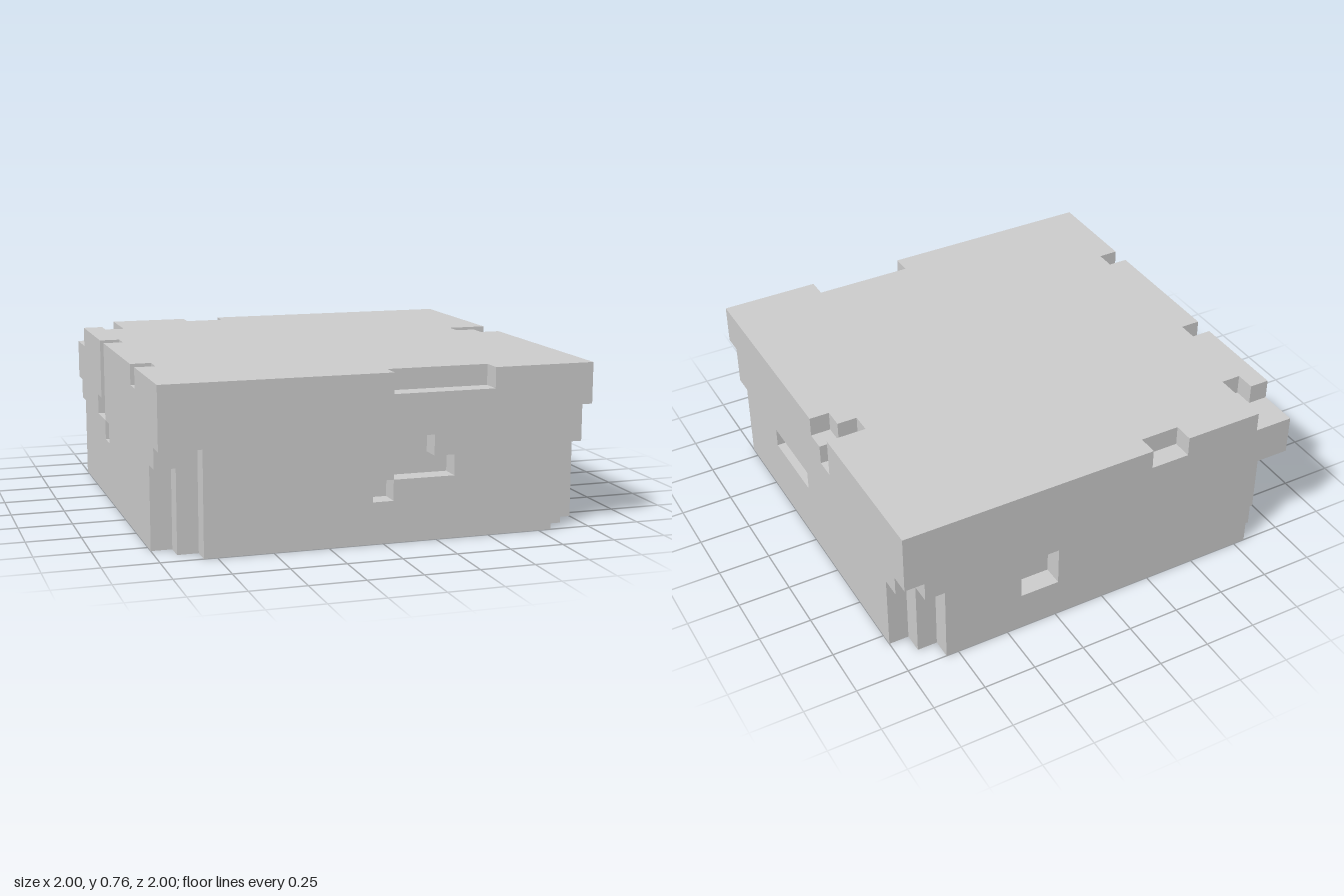
import * as THREE from 'three';

// The block is a 21 x 8 x 21 grid of cells with small recesses cut into its sides.
const NX = 21, NY = 8, NZ = 21, CELL = 2 / 21;

// Each cut is an inclusive cell range: [x0, x1, y0, y1, z0, z1]
const CUTS = [
  // front face: rim notch, stepped pocket, small pocket
  [11, 15, 7, 7, 20, 20], [11, 12, 3, 4, 20, 20], [13, 13, 3, 3, 20, 20], [10, 10, 2, 2, 20, 20],
  // +x face: long slot and stepped rim notch
  [20, 20, 3, 3, 11, 14], [20, 20, 7, 7, 8, 9], [19, 19, 7, 7, 8, 8], [20, 20, 6, 6, 8, 8],
  // back face: rim notch and square pocket
  [6, 7, 7, 7, 0, 0], [13, 14, 2, 3, 0, 0],
  // -x face: rim notch, then a vertical groove with a stepped foot
  [0, 0, 7, 7, 15, 15], [0, 0, 4, 7, 7, 7], [0, 0, 4, 4, 6, 6], [0, 0, 3, 3, 8, 8],
  // sunken top corner
  [0, 1, 7, 7, 0, 1], [1, 1, 7, 7, 2, 2],
];

// Lower corners: corner cell, neighbour along x, neighbour along z, with the cut height of each
const CORNERS = [
  [20, 20, 6, 5, 4],
  [0, 20, 5, 5, 4],
  [20, 0, 5, 4, 4],
  [0, 0, 5, 5, 4],
];
for (const [x, z, hCorner, hX, hZ] of CORNERS) {
  const nx = x ? x - 1 : 1, nz = z ? z - 1 : 1;
  CUTS.push([x, x, 0, hCorner - 1, z, z], [nx, nx, 0, hX - 1, z, z], [x, x, 0, hZ - 1, nz, nz]);
}

function isSolid([x, y, z]) {
  if (x < 0 || y < 0 || z < 0 || x >= NX || y >= NY || z >= NZ) return false;
  return !CUTS.some(([x0, x1, y0, y1, z0, z1]) =>
    x >= x0 && x <= x1 && y >= y0 && y <= y1 && z >= z0 && z <= z1);
}

// Emits a square wherever a solid cell meets empty space
function blockGeometry() {
  const positions = [], normals = [], indices = [];
  const addFace = (cell, axis, dir) => {
    const u = (axis + 1) % 3, v = (axis + 2) % 3;
    const base = positions.length / 3;
    for (const [a, b] of [[0, 0], [1, 0], [1, 1], [0, 1]]) {
      const p = [...cell];
      p[axis] += dir > 0 ? 1 : 0;
      p[u] += a;
      p[v] += b;
      positions.push(p[0] * CELL - 1, p[1] * CELL, p[2] * CELL - 1);
      const n = [0, 0, 0];
      n[axis] = dir;
      normals.push(...n);
    }
    const order = dir > 0 ? [0, 1, 2, 0, 2, 3] : [0, 2, 1, 0, 3, 2];
    indices.push(...order.map((i) => base + i));
  };
  for (let x = 0; x < NX; x++)
    for (let y = 0; y < NY; y++)
      for (let z = 0; z < NZ; z++) {
        const cell = [x, y, z];
        if (!isSolid(cell)) continue;
        for (let axis = 0; axis < 3; axis++)
          for (const dir of [-1, 1]) {
            const next = [...cell];
            next[axis] += dir;
            if (!isSolid(next)) addFace(cell, axis, dir);
          }
      }
  const geometry = new THREE.BufferGeometry();
  geometry.setAttribute('position', new THREE.Float32BufferAttribute(positions, 3));
  geometry.setAttribute('normal', new THREE.Float32BufferAttribute(normals, 3));
  geometry.setIndex(indices);
  return geometry;
}

export function createModel() {
  const group = new THREE.Group();
  group.name = 'notchedBlock';
  const block = new THREE.Mesh(
    blockGeometry(),
    new THREE.MeshStandardMaterial({ color: 0xcccccc, flatShading: true })
  );
  block.name = 'block';
  group.add(block);
  return group;
}
